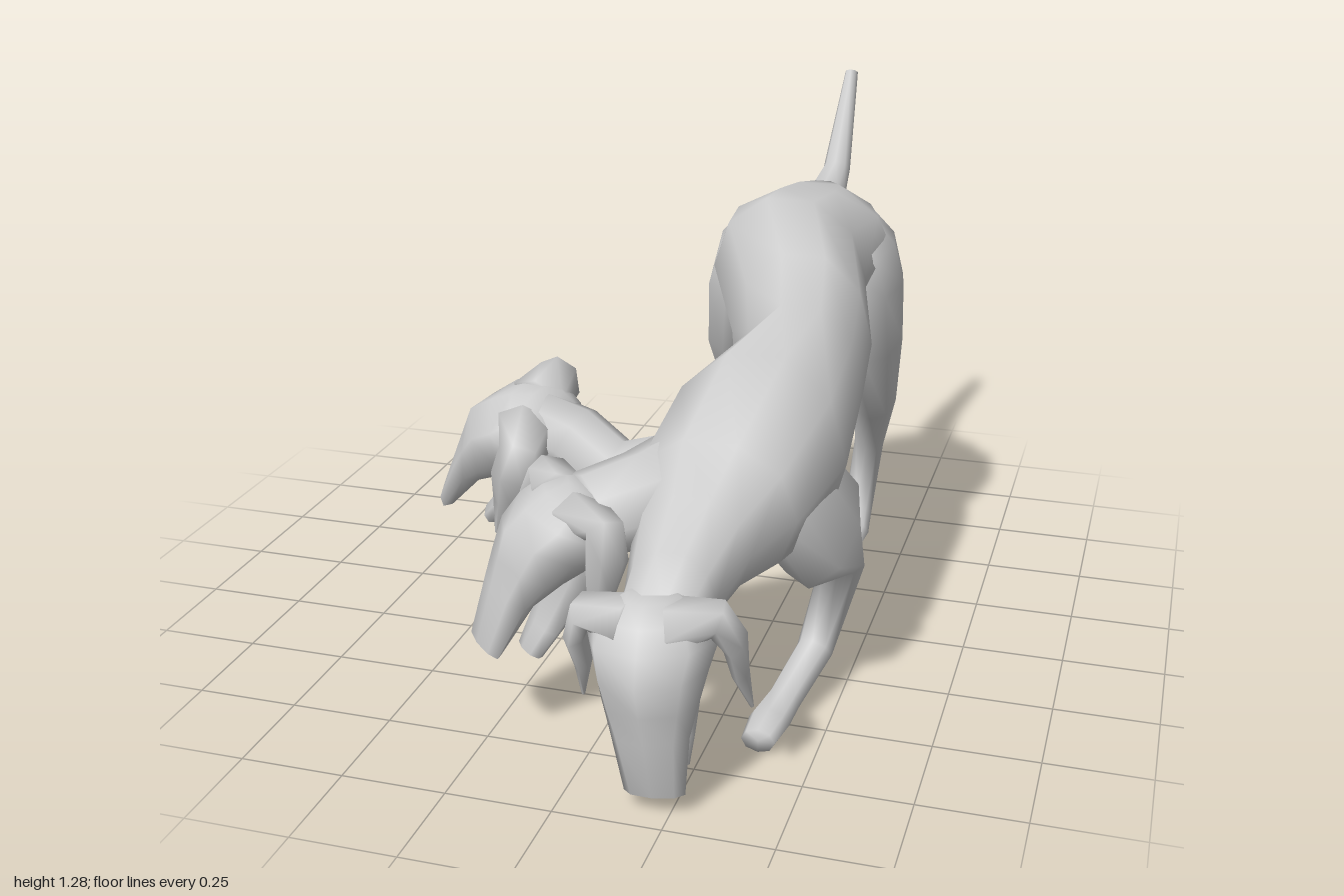
import * as THREE from 'three';

const V = (x, y, z) => new THREE.Vector3(x, y, z);
const material = new THREE.MeshStandardMaterial({ color: 0xcccccc });

// Closed skin over elliptical rings [x, y, z, halfSide, halfDepth].
// side: rough sideways direction of the rings; axis: optional fixed ring normal.
function loft(name, rings, { side = V(1, 0, 0), axis = null, sides = 8 } = {}) {
  const centres = rings.map(r => V(r[0], r[1], r[2]));
  const last = rings.length - 1;
  const pos = [], idx = [];
  rings.forEach((r, i) => {
    const before = centres[Math.max(i - 1, 0)], after = centres[Math.min(i + 1, last)];
    let t = axis;
    if (!t) {
      t = V(0, 0, 0);
      if (i > 0) t.add(centres[i].clone().sub(before).normalize());
      if (i < last) t.add(after.clone().sub(centres[i]).normalize());
      t.normalize();
    }
    const u = t.clone().cross(side).normalize();
    const s = u.clone().cross(t);
    for (let j = 0; j < sides; j++) {
      const a = (j / sides) * Math.PI * 2;
      const p = centres[i].clone()
        .addScaledVector(s, r[3] * Math.cos(a))
        .addScaledVector(u, r[4] * Math.sin(a));
      pos.push(p.x, p.y, p.z);
    }
  });
  for (let i = 0; i < last; i++) {
    for (let j = 0; j < sides; j++) {
      const a = i * sides + j, b = i * sides + (j + 1) % sides;
      idx.push(a, b, a + sides, b, b + sides, a + sides);
    }
  }
  // end caps
  const c0 = pos.length / 3, c1 = c0 + 1;
  pos.push(...centres[0].toArray(), ...centres[last].toArray());
  for (let j = 0; j < sides; j++) {
    const k = (j + 1) % sides;
    idx.push(c0, k, j, c1, last * sides + j, last * sides + k);
  }
  const g = new THREE.BufferGeometry();
  g.setAttribute('position', new THREE.Float32BufferAttribute(pos, 3));
  g.setIndex(idx);
  g.computeVertexNormals();
  const mesh = new THREE.Mesh(g, material);
  mesh.name = name;
  return mesh;
}

// Head in its own frame: +x its left, +y its crown, +z along the snout
function head(name, origin, forward, leftHint) {
  const h = new THREE.Group();
  h.name = name;
  const axis = V(0, 0, 1);
  h.add(loft('skullAndUpperJaw', [
    [0, -0.02, -0.085, 0.06, 0.06],
    [0, -0.01, -0.05, 0.13, 0.095],
    [0, 0.0, 0.0, 0.15, 0.12],
    [0, 0.03, 0.06, 0.13, 0.12],
    [0, 0.06, 0.13, 0.11, 0.08],
    [0, 0.08, 0.2, 0.09, 0.05],
    [0, 0.085, 0.34, 0.07, 0.025],
  ], { axis }));
  h.add(loft('lowerJaw', [
    [0, -0.04, 0.03, 0.11, 0.08],
    [0, -0.06, 0.14, 0.085, 0.05],
    [0, -0.045, 0.27, 0.06, 0.03],
    [0, -0.035, 0.34, 0.045, 0.025],
  ], { axis }));
  for (const m of [1, -1]) {
    h.add(loft(m > 0 ? 'leftEar' : 'rightEar', [
      [m * 0.05, 0.01, -0.03, 0.08, 0.06],
      [m * 0.15, 0.0, -0.045, 0.055, 0.04],
      [m * 0.18, -0.015, 0.015, 0.055, 0.026],
      [m * 0.18, -0.035, 0.1, 0.035, 0.018],
      [m * 0.195, -0.05, 0.19, 0.004, 0.004],
    ], { side: V(0, 1, 0), sides: 6 }));
  }
  const f = forward.clone().normalize();
  const up = f.clone().cross(leftHint).normalize();
  h.quaternion.setFromRotationMatrix(new THREE.Matrix4().makeBasis(up.clone().cross(f), up, f));
  h.position.copy(origin);
  return h;
}

export function createModel() {
  const dog = new THREE.Group();
  dog.name = 'threeHeadedDog';

  // Torso from rump through the chest into the left neck
  dog.add(loft('torsoAndLeftNeck', [
    [0.22, 0.97, -0.63, 0.07, 0.07],
    [0.22, 0.92, -0.57, 0.18, 0.13],
    [0.22, 0.9, -0.44, 0.235, 0.165],
    [0.215, 0.885, -0.25, 0.2, 0.2],
    [0.29, 0.765, -0.08, 0.18, 0.225],
    [0.32, 0.69, 0.07, 0.16, 0.215],
    [0.275, 0.605, 0.33, 0.22, 0.26],
    [0.215, 0.525, 0.5, 0.205, 0.18],
    [0.205, 0.485, 0.62, 0.14, 0.13],
    [0.195, 0.43, 0.75, 0.105, 0.105],
    [0.185, 0.39, 0.86, 0.09, 0.07],
  ], { axis: V(0, 0, 1), sides: 10 }));

  // Tail
  dog.add(loft('tail', [
    [0.22, 0.95, -0.56, 0.08, 0.07],
    [0.22, 0.975, -0.65, 0.055, 0.05],
    [0.22, 1.03, -0.81, 0.038, 0.035],
    [0.22, 1.275, -0.985, 0.018, 0.016],
  ]));

  // Hind legs, mirrored about the hips at x = 0.22
  for (const m of [1, -1]) {
    const rings = [
      [0.11, 0.96, -0.44, 0.07, 0.14],
      [0.155, 0.89, -0.45, 0.088, 0.175],
      [0.18, 0.8, -0.45, 0.085, 0.18],
      [0.195, 0.66, -0.45, 0.072, 0.15],
      [0.185, 0.46, -0.53, 0.058, 0.085],
      [0.14, 0.25, -0.715, 0.042, 0.06],
      [0.13, 0.06, -0.625, 0.04, 0.045],
      [0.13, 0.033, -0.55, 0.047, 0.032],
      [0.13, 0.03, -0.46, 0.04, 0.029],
    ].map(([x, ...rest]) => [0.22 + m * x, ...rest]);
    dog.add(loft(m > 0 ? 'leftHindLeg' : 'rightHindLeg', rings));
  }

  // Front legs, stretched forward with the elbows raised behind
  const foreleg = [
    [0.62, 0.37, 0.12, 0.15],
    [0.42, 0.29, 0.1, 0.17],
    [0.27, 0.155, 0.055, 0.07],
    [0.11, 0.32, 0.045, 0.045],
    [0.045, 0.47, 0.042, 0.038],
    [0.034, 0.55, 0.05, 0.033],
    [0.031, 0.64, 0.04, 0.029],
  ];
  const forelegX = {
    leftFrontLeg: [0.3, 0.435, 0.46, 0.43, 0.39, 0.375, 0.37],
    rightFrontLeg: [0.2, 0.095, 0.075, 0.09, 0.08, 0.07, 0.065],
  };
  for (const [name, xs] of Object.entries(forelegX)) {
    dog.add(loft(name, foreleg.map((r, i) => [xs[i], ...r])));
  }

  // Necks branching from the chest to the other two heads
  dog.add(loft('middleNeck', [
    [0.22, 0.57, 0.32, 0.15, 0.16],
    [0.06, 0.54, 0.5, 0.13, 0.115],
    [-0.05, 0.525, 0.6, 0.12, 0.1],
  ], { side: V(0.7, 0, 0.7) }));
  dog.add(loft('rightNeck', [
    [0.2, 0.55, 0.38, 0.14, 0.14],
    [-0.06, 0.53, 0.365, 0.095, 0.09],
    [-0.17, 0.6, 0.35, 0.1, 0.09],
    [-0.26, 0.63, 0.335, 0.09, 0.08],
  ], { side: V(0, 0, 1) }));

  // Heads
  dog.add(head('leftHead', V(0.185, 0.385, 0.85), V(0.08, -1, -0.02), V(1, 0, 0)));
  dog.add(head('middleHead', V(-0.08, 0.525, 0.625), V(-0.33, -0.92, 0.18), V(0.7, -0.08, 0.71)));
  dog.add(head('rightHead', V(-0.275, 0.625, 0.335), V(-0.52, -0.78, -0.26), V(0, -0.35, 0.93)));

  return dog;
}
